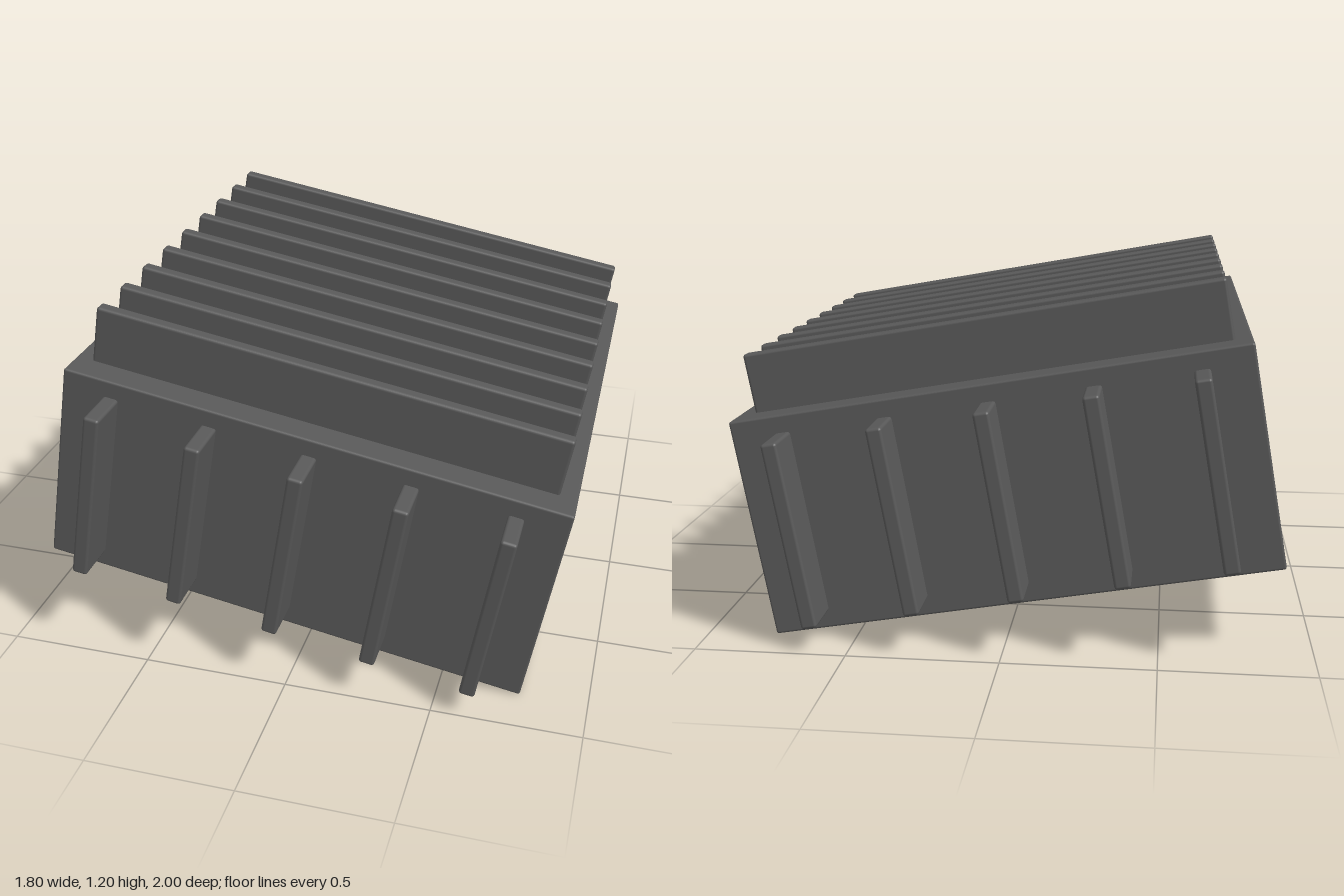
import * as THREE from 'three';
import { RoundedBoxGeometry } from 'three/addons/geometries/RoundedBoxGeometry.js';

export function createModel() {
  const model = new THREE.Group();
  model.name = 'finnedBlock';
  const darkGrey = new THREE.MeshStandardMaterial({ color: 0x585858 });
  darkGrey.name = 'darkGrey';

  // everything sits on a block tilted ten degrees down to its left
  const tilted = new THREE.Group();
  tilted.name = 'tiltedBlock';
  tilted.rotation.z = THREE.MathUtils.degToRad(-10);
  tilted.position.y = 0.512;
  model.add(tilted);

  const addBox = (name, w, h, d, x, y, z, r = 0.01) => {
    const mesh = new THREE.Mesh(new RoundedBoxGeometry(w, h, d, 2, r), darkGrey);
    mesh.name = name;
    mesh.position.set(x, y, z);
    tilted.add(mesh);
  };

  // main body
  addBox('body', 1.7, 0.738, 1.7, 0, 0, 0, 0.008);

  // cooling fins along the top
  for (let i = -4; i <= 4; i++) {
    addBox('topFin', 1.586, 0.23, 0.046, -0.002, 0.451, i * 0.182);
  }

  // upright ribs on the front and back
  for (const side of [1, -1]) {
    for (let i = -2; i <= 2; i++) {
      addBox(side > 0 ? 'frontRib' : 'backRib', 0.053, 0.62, 0.18, i * 0.34, 0, side * 0.91);
    }
  }
  return model;
}
